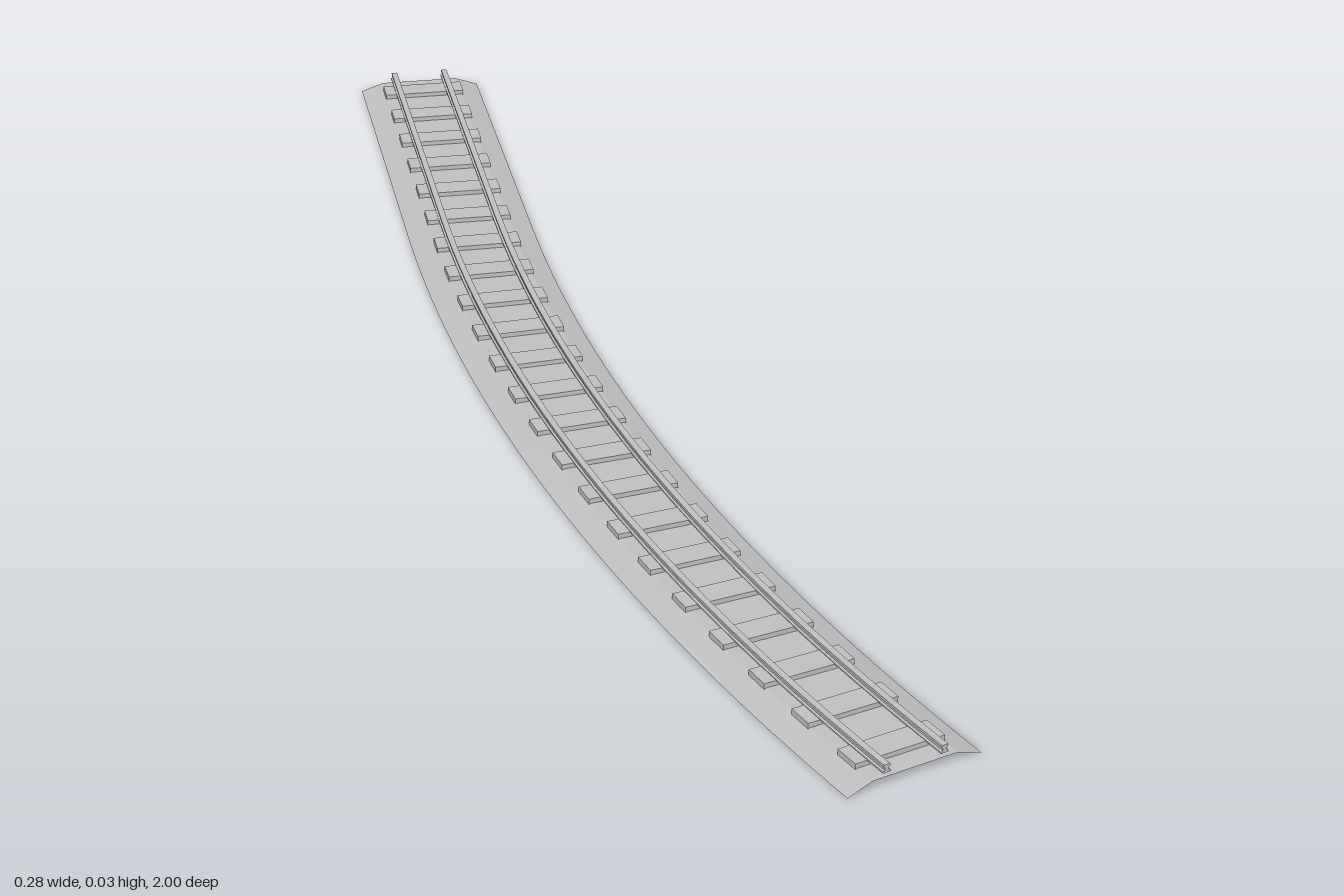
import * as THREE from 'three';

const RADIUS = 4, APEX_X = -0.054, APEX_Z = 0.05;
const A_BACK = -0.13, A_FRONT = 0.234, STRAIGHT = 0.525;
const LENGTH = STRAIGHT + (A_FRONT - A_BACK) * RADIUS;

// Centre line: a straight at the back that runs into an arc at the front.
function pathAt(s) {
  const along = s - STRAIGHT;
  const angle = A_BACK + Math.max(0, along) / RADIUS;
  const extra = Math.min(0, along);
  return {
    x: APEX_X + RADIUS * (1 - Math.cos(angle)) + extra * Math.sin(angle),
    z: APEX_Z + RADIUS * Math.sin(angle) + extra * Math.cos(angle),
    angle,
  };
}

// Sweeps a counter-clockwise profile of [sideways, height] along the centre line.
function sweep(profile, closed) {
  const pos = [];
  const point = (s, [u, y]) => {
    const p = pathAt(s);
    return [p.x + u * Math.cos(p.angle), y, p.z - u * Math.sin(p.angle)];
  };
  const arcSteps = 30;
  const stations = [0, STRAIGHT / 2];
  for (let i = 0; i <= arcSteps; i++) stations.push(STRAIGHT + (LENGTH - STRAIGHT) * i / arcSteps);

  const sides = closed ? profile.length : profile.length - 1;
  for (let k = 0; k < stations.length - 1; k++) {
    for (let i = 0; i < sides; i++) {
      const p = profile[i], q = profile[(i + 1) % profile.length];
      const a = point(stations[k], p), b = point(stations[k], q);
      const c = point(stations[k + 1], q), d = point(stations[k + 1], p);
      pos.push(...a, ...b, ...c, ...a, ...c, ...d);
    }
  }
  if (closed) {
    const outline = profile.map(([u, y]) => new THREE.Vector2(u, y));
    for (const [i, j, k] of THREE.ShapeUtils.triangulateShape(outline, [])) {
      pos.push(...point(LENGTH, profile[i]), ...point(LENGTH, profile[j]), ...point(LENGTH, profile[k]));
      pos.push(...point(0, profile[i]), ...point(0, profile[k]), ...point(0, profile[j]));
    }
  }
  const geo = new THREE.BufferGeometry();
  geo.setAttribute('position', new THREE.Float32BufferAttribute(pos, 3));
  geo.computeVertexNormals();
  return geo;
}

export function createModel() {
  const group = new THREE.Group();
  group.name = 'curvedTrack';
  const grey = new THREE.MeshStandardMaterial({ color: 0xc0c0c0, side: THREE.DoubleSide });
  grey.name = 'grey';

  const add = (geo, name, parent = group) => {
    const mesh = new THREE.Mesh(geo, grey);
    mesh.name = name;
    parent.add(mesh);
    return mesh;
  };

  // Ballast bed: an open shell with sloping shoulders
  add(sweep([[0.086, 0], [0.054, 0.011], [-0.054, 0.011], [-0.086, 0]], false), 'ballastBed');

  // Sleepers, evenly spaced and square to the centre line
  const sleepers = new THREE.Group();
  sleepers.name = 'sleepers';
  group.add(sleepers);
  const sleeperGeo = new THREE.BoxGeometry(0.114, 0.011, 0.034);
  const count = 22;
  for (let i = 0; i < count; i++) {
    const p = pathAt(LENGTH * (i + 0.5) / count);
    const sleeper = add(sleeperGeo, 'sleeper', sleepers);
    sleeper.position.set(p.x, 0.0115, p.z);
    sleeper.rotation.y = p.angle;
  }

  // Rails with foot, web and head
  const half = [[0.005, 0.016], [0.005, 0.018], [0.0025, 0.019], [0.0025, 0.022], [0.004, 0.023], [0.004, 0.026]];
  const section = [...half, ...half.map(([u, y]) => [-u, y]).reverse()];
  for (const side of [1, -1]) {
    const profile = section.map(([u, y]) => [u + side * 0.037, y]);
    add(sweep(profile, true), side > 0 ? 'leftRail' : 'rightRail');
  }
  return group;
}
